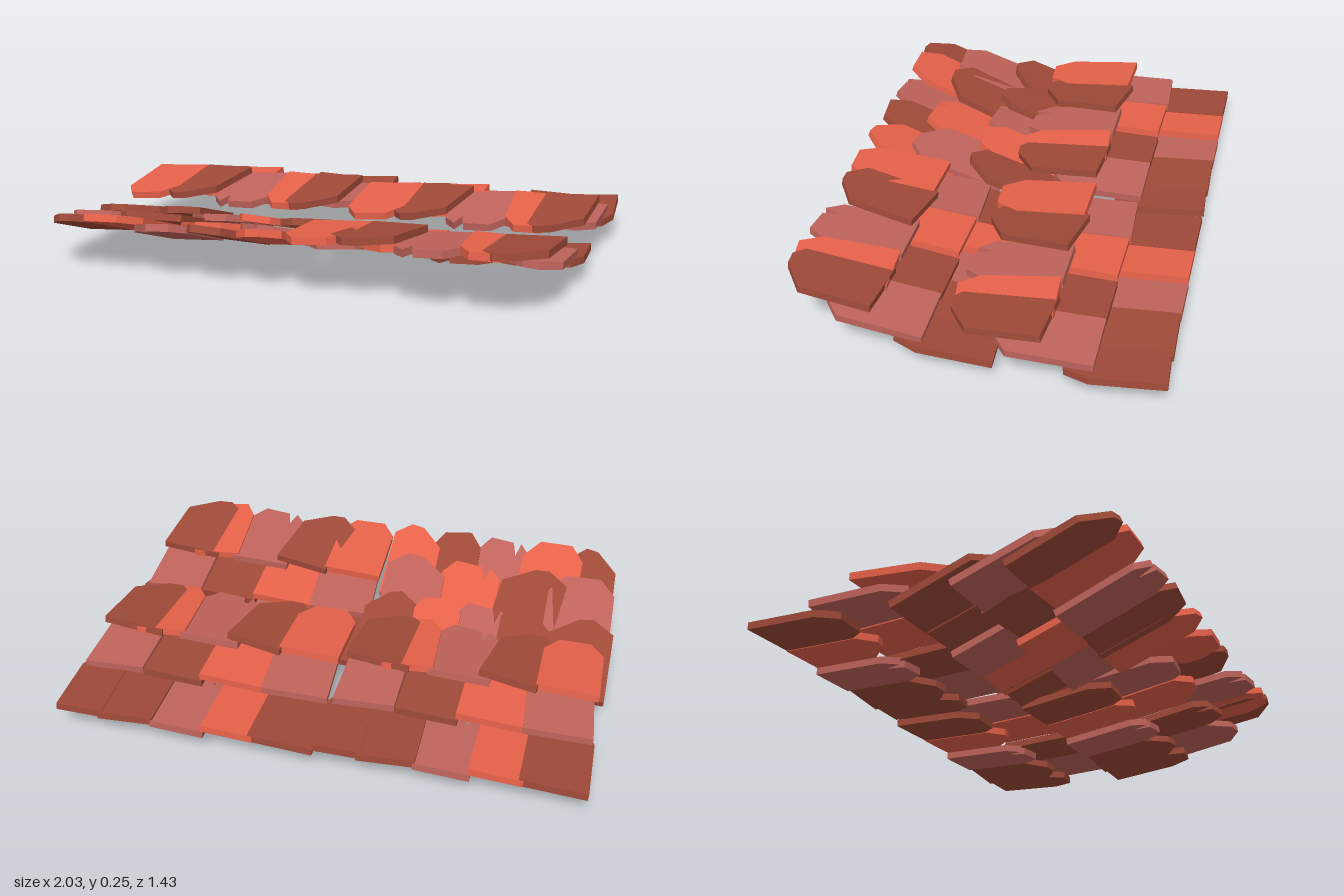
import * as THREE from 'three';

const COLORS = { d: 0xa04a38, o: 0xe8624a, p: 0xc0645c };
const THICK = 0.028;

// Front-edge outlines: x as a fraction of the half width, s as distance behind the tip
const TIPS = {
  round: [[1, 0.1], [0.55, 0.01], [-0.5, 0], [-0.95, 0.08]],
  left: [[1, 0.1], [0.1, 0.01], [-0.35, 0], [-1, 0.06]],
  right: [[1, 0.06], [0.4, 0], [-0.1, 0.01], [-0.95, 0.11]],
  notch: [[1, 0.07], [0.6, 0], [-0.3, 0.01], [-0.45, 0.08], [-0.6, 0.01], [-1, 0.07]],
};

// One shingle: straight back edge at s = 0, worn front edge at s = length
function shingleGeometry(width, length, tip) {
  const h = width / 2;
  const shape = new THREE.Shape();
  shape.moveTo(-h * 0.98, 0);
  shape.lineTo(h, 0);
  for (const [fx, back] of TIPS[tip]) shape.lineTo(fx * h, length - back);
  shape.closePath();
  const geo = new THREE.ExtrudeGeometry(shape, { depth: THICK, bevelEnabled: false });
  geo.rotateX(Math.PI / 2);
  return geo;
}

// Tiles across a row: [left x, right x, colour, tip, yaw], x running from 0 to 1
const ROW_BACK = [
  [0.01, 0.26, 'd', 'round', 0], [0.24, 0.44, 'o', 'left', 0], [0.43, 0.64, 'p', 'notch', 0],
  [0.63, 0.85, 'd', 'right', 0.02], [0.83, 1.01, 'd', 'round', 0.06],
];
const ROW_MIDDLE = [
  [0.02, 0.28, 'p', 'round', 0.06], [0.27, 0.53, 'o', 'left', -0.01],
  [0.52, 0.76, 'd', 'notch', 0], [0.76, 1.0, 'p', 'right', 0],
];
const ROW_FRONT = [
  [0.02, 0.26, 'o', 'round', 0], [0.25, 0.48, 'd', 'left', -0.17], [0.43, 0.67, 'p', 'notch', 0.02],
  [0.65, 0.85, 'o', 'round', 0.06], [0.74, 0.99, 'd', 'left', -0.06],
];
// Worn corner: the same shingles in a different order
const WORN_BACK = [
  [0.0, 0.26, 'd', 'left', 0], [0.24, 0.46, 'd', 'right', 0], [0.42, 0.65, 'p', 'notch', 0],
  [0.62, 0.84, 'o', 'round', 0], [0.8, 1.01, 'd', 'left', 0.05],
];
const WORN_MIDDLE = [
  [0.01, 0.29, 'p', 'round', 0], [0.25, 0.52, 'd', 'left', -0.1],
  [0.5, 0.75, 'o', 'notch', 0], [0.72, 0.98, 'p', 'right', 0.03],
];
const WORN_FRONT = [
  [0.02, 0.22, 'd', 'right', 0], [0.18, 0.44, 'o', 'round', -0.06], [0.4, 0.62, 'p', 'notch', 0],
  [0.6, 0.82, 'd', 'round', 0.03], [0.78, 1.0, 'o', 'right', 0],
];

// Row placement: back z, front z, top height at the back, top height at the front
const PATCHES = [
  { name: 'backRightPatch', x: -1, rows: [ROW_BACK, ROW_MIDDLE, ROW_FRONT],
    place: [[-0.7, -0.33, 0.11, 0.09], [-0.45, -0.08, 0.145, 0.15], [-0.27, 0.1, 0.212, 0.172]] },
  { name: 'backLeftPatch', x: 0, rows: [ROW_BACK, ROW_MIDDLE, ROW_FRONT],
    place: [[-0.7, -0.33, 0.11, 0.09], [-0.45, -0.08, 0.145, 0.15], [-0.27, 0.1, 0.212, 0.172]] },
  { name: 'frontLeftPatch', x: -0.02, rows: [ROW_BACK, ROW_MIDDLE, ROW_FRONT],
    place: [[-0.09, 0.28, 0.06, 0.1], [0.16, 0.53, 0.125, 0.175], [0.34, 0.71, 0.205, 0.24]] },
  { name: 'frontRightPatch', x: -1, rows: [WORN_BACK, WORN_MIDDLE, WORN_FRONT],
    place: [[-0.09, 0.28, 0.042, 0.165], [0.14, 0.53, 0.075, 0.205], [0.34, 0.71, 0.1, 0.235]] },
];

export function createModel() {
  const model = new THREE.Group();
  model.name = 'shingleRoof';
  const materials = {};
  for (const key in COLORS) {
    materials[key] = new THREE.MeshStandardMaterial({ color: COLORS[key], flatShading: true });
  }

  for (const patch of PATCHES) {
    const group = new THREE.Group();
    group.name = patch.name;
    patch.rows.forEach((row, r) => {
      const [zb, zf, yb, yf] = patch.place[r];
      const pitch = Math.atan2(yf - yb, zf - zb);
      row.forEach(([x0, x1, color, tip, yaw], i) => {
        const length = Math.hypot(zf - zb, yf - yb);
        const tile = new THREE.Mesh(shingleGeometry(x1 - x0, length, tip), materials[color]);
        tile.name = `shingleRow${r + 1}Tile${i + 1}`;
        // Slight lift and roll so neighbours lap over each other
        const lift = [0, 0.012, -0.004, 0.008, 0.014][i];
        tile.position.set(patch.x + (x0 + x1) / 2, yb + lift, zb);
        tile.rotation.set(-pitch, yaw, i === 3 ? -0.03 : 0.07, 'YXZ');
        group.add(tile);
      });
    });
    model.add(group);
  }
  return model;
}
